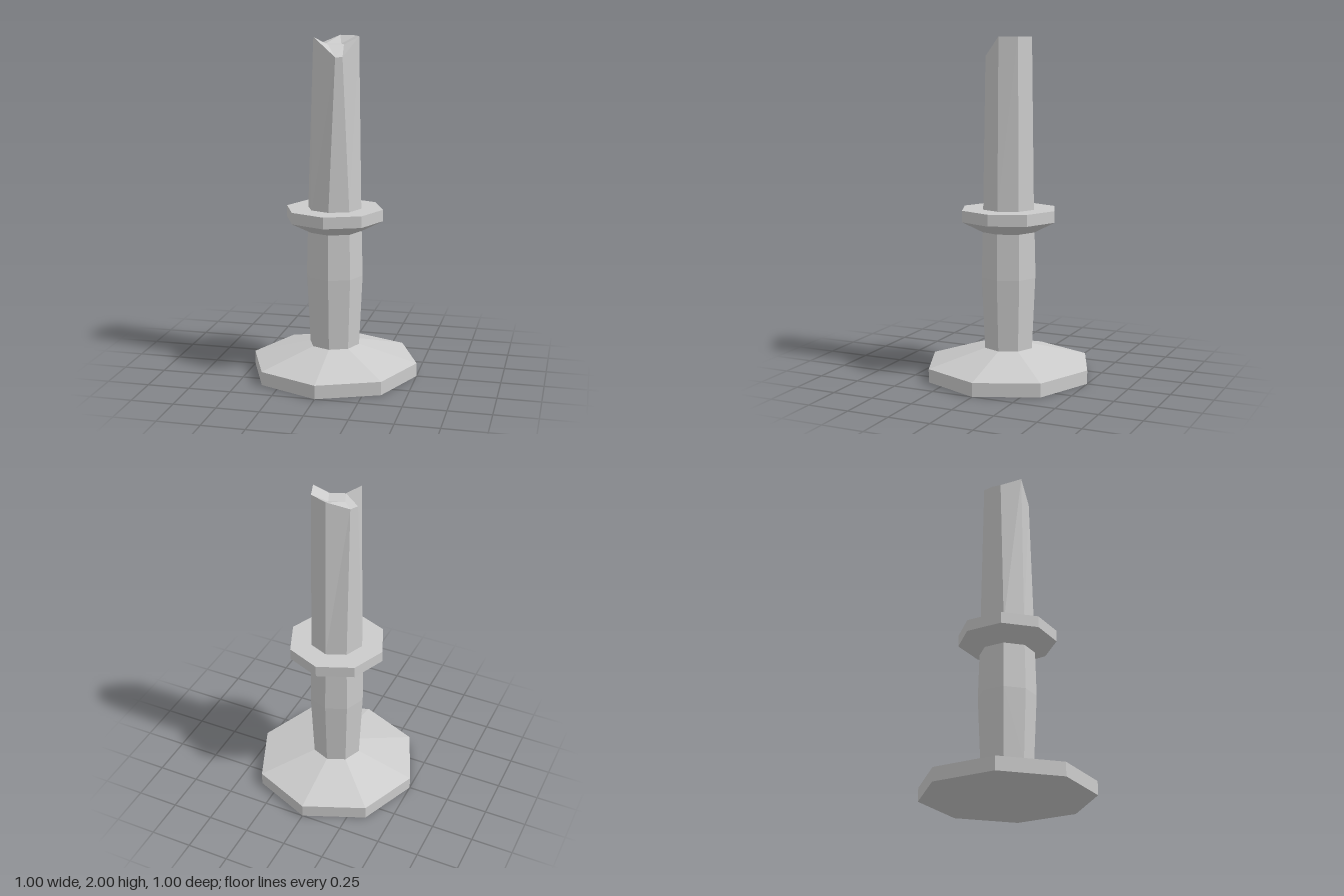
import * as THREE from 'three';

const SIDES = 8;
const grey = () => new THREE.MeshStandardMaterial({ color: 0xcccccc, flatShading: true });

function lathe(name, profile) {
  const points = profile.map(([r, y]) => new THREE.Vector2(r, y));
  const mesh = new THREE.Mesh(new THREE.LatheGeometry(points, SIDES), grey());
  mesh.name = name;
  return mesh;
}

// Tapered candle with an uneven melted rim and a small square wax pool
function makeCandle() {
  const bottom = [];
  for (let k = 0; k < SIDES; k++) {
    const a = (k / SIDES) * Math.PI * 2;
    bottom.push([0.16 * Math.cos(a), 1, 0.16 * Math.sin(a)]);
  }
  // rim corners, from +x round towards +z
  const rim = [
    [0.143, 2, 0], [0.072, 1.89, 0.115], [0.033, 1.89, 0.131], [-0.1, 2, 0.1],
    [-0.134, 1.945, -0.024], [-0.113, 1.95, -0.078], [0, 2, -0.145], [0.105, 2, -0.104],
  ];
  const pool = [[0.06, 1.955, 0.027], [-0.025, 1.955, 0.06], [-0.06, 1.955, -0.027], [0.025, 1.955, -0.06]];

  const positions = [];
  const tri = (a, b, c) => positions.push(...a, ...b, ...c);
  const quad = (a, b, c, d) => { tri(a, b, c); tri(a, c, d); };

  for (let k = 0; k < SIDES; k++) {
    const n = (k + 1) % SIDES;
    quad(bottom[n], bottom[k], rim[k], rim[n]); // outer wall
    const p = pool[k >> 1];
    if (k % 2 === 0) tri(rim[n], rim[k], p); // melted slope
    else quad(rim[n], rim[k], p, pool[((k >> 1) + 1) % 4]);
  }
  quad(pool[3], pool[2], pool[1], pool[0]);

  const geometry = new THREE.BufferGeometry();
  geometry.setAttribute('position', new THREE.Float32BufferAttribute(positions, 3));
  geometry.computeVertexNormals();
  const mesh = new THREE.Mesh(geometry, grey());
  mesh.name = 'candle';
  return mesh;
}

export function createModel() {
  const group = new THREE.Group();
  group.name = 'candlestick';
  group.add(
    lathe('base', [[0, 0], [0.5, 0], [0.5, 0.08], [0.15, 0.175]]),
    lathe('stem', [[0.15, 0.175], [0.17, 0.6], [0.163, 0.87]]),
    lathe('dripTray', [[0.163, 0.87], [0.29, 0.935], [0.29, 1.003], [0, 1.003]]),
    makeCandle(),
  );
  return group;
}
